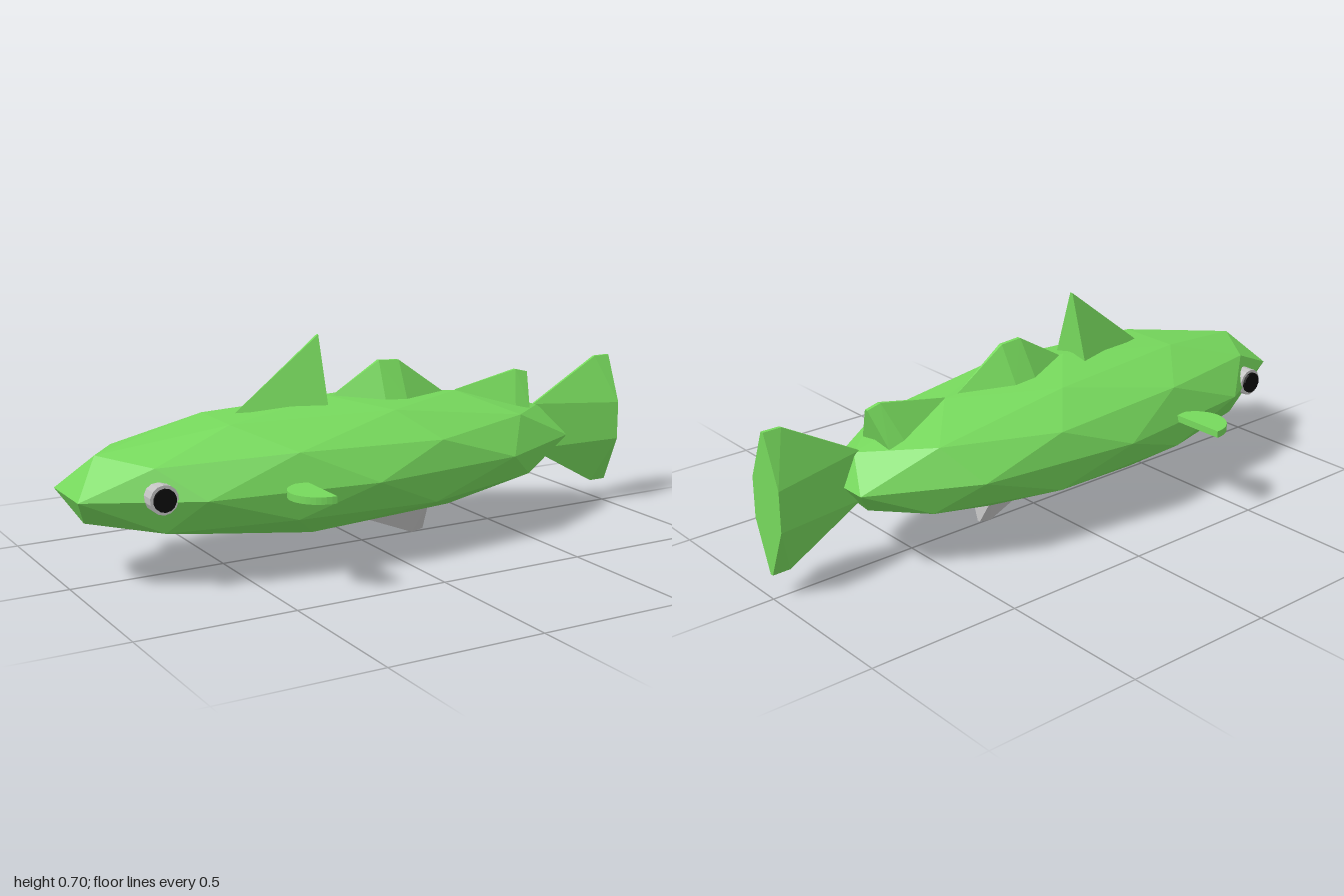
import * as THREE from 'three';
import { ConvexGeometry } from 'three/addons/geometries/ConvexGeometry.js';

export function createModel() {
  const fish = new THREE.Group();
  fish.name = 'fish';

  const mat = (name, color, flatShading = true) => {
    const m = new THREE.MeshStandardMaterial({ color, flatShading });
    m.name = name;
    return m;
  };
  const green = mat('green', 0x76d85c);
  const grey = mat('light grey', 0xc2c2c2);
  const black = mat('black', 0x0c0c0c);

  const add = (name, geometry, material) => {
    const mesh = new THREE.Mesh(geometry, material);
    mesh.name = name;
    fish.add(mesh);
    return mesh;
  };

  // Body: icosahedron standing on a vertex, split once and stretched
  const verts = [0, 1, 0];
  const h = 1 / Math.sqrt(5), r = 2 * h;
  for (let ring = 0; ring < 2; ring++) {
    for (let i = 0; i < 5; i++) {
      const a = (i + ring / 2) * Math.PI * 0.4;
      verts.push(r * Math.cos(a), ring ? -h : h, r * Math.sin(a));
    }
  }
  verts.push(0, -1, 0);
  const faces = [];
  for (let i = 0; i < 5; i++) {
    const u = 1 + i, u2 = 1 + (i + 1) % 5, l = 6 + i, l2 = 6 + (i + 1) % 5;
    faces.push(0, u2, u, u, u2, l, u2, l2, l, 11, l, l2);
  }
  const body = new THREE.PolyhedronGeometry(verts, faces, 1, 1);
  body.scale(0.92, 0.208, 0.336);
  body.translate(-0.125, 0.289, 0);
  add('body', body, green);

  // Fins: faceted hulls; each point [x, y, z] is mirrored across z = 0
  const fin = (name, points, material) => {
    const all = [];
    for (const [x, y, z] of points) {
      all.push(new THREE.Vector3(x, y, z));
      if (z > 0) all.push(new THREE.Vector3(x, y, -z));
    }
    add(name, new ConvexGeometry(all), material);
  };
  fin('frontDorsalFin', [
    [-0.45, 0.475, 0], [-0.16, 0.475, 0.07], [-0.16, 0.697, 0.005],
  ], green);
  fin('middleDorsalFin', [
    [-0.125, 0.487, 0], [0.05, 0.475, 0.068], [0.13, 0.472, 0.068],
    [0.06, 0.595, 0.006], [0.135, 0.59, 0.006], [0.31, 0.468, 0],
  ], green);
  fin('rearDorsalFin', [
    [0.355, 0.468, 0], [0.56, 0.4, 0.068], [0.618, 0.39, 0.068],
    [0.6, 0.515, 0.006], [0.648, 0.503, 0.006],
  ], green);
  fin('tailFin', [
    [0.68, 0.385, 0.004], [0.68, 0.225, 0.004],
    [0.94, 0.53, 0.005], [1, 0.53, 0.006], [1, 0.37, 0.07],
    [1, 0.24, 0.07], [1, 0.08, 0.006], [0.94, 0.08, 0.005],
  ], green);
  fin('bellyFin', [
    [-0.03, 0.088, 0], [0.22, 0.11, 0.06],
    [0.19, 0, 0.006], [0.232, 0.008, 0.006],
  ], grey);

  // Half-round side fins and eyes on both sides
  const half = new THREE.Shape();
  half.absarc(0, 0, 0.095, Math.PI / 2, Math.PI * 1.5, false);
  const sideFin = new THREE.ExtrudeGeometry(half, { depth: 0.022, bevelEnabled: false, curveSegments: 10 });
  sideFin.rotateX(Math.PI / 2);
  sideFin.scale(1.08, 1, 1);

  const eyeball = new THREE.CylinderGeometry(0.045, 0.045, 0.07, 14).rotateX(Math.PI / 2);
  const pupil = new THREE.CylinderGeometry(0.035, 0.035, 0.009, 14).rotateX(Math.PI / 2);

  for (const [side, s] of [['near', 1], ['far', -1]]) {
    add(side + 'SideFin', sideFin, green).position.set(-0.357, 0.313, s * 0.384);
    add(side + 'Eyeball', eyeball, grey).position.set(-0.785, 0.3, s * 0.196);
    add(side + 'Pupil', pupil, black).position.set(-0.785, 0.3, s * 0.235);
  }

  return fish;
}
